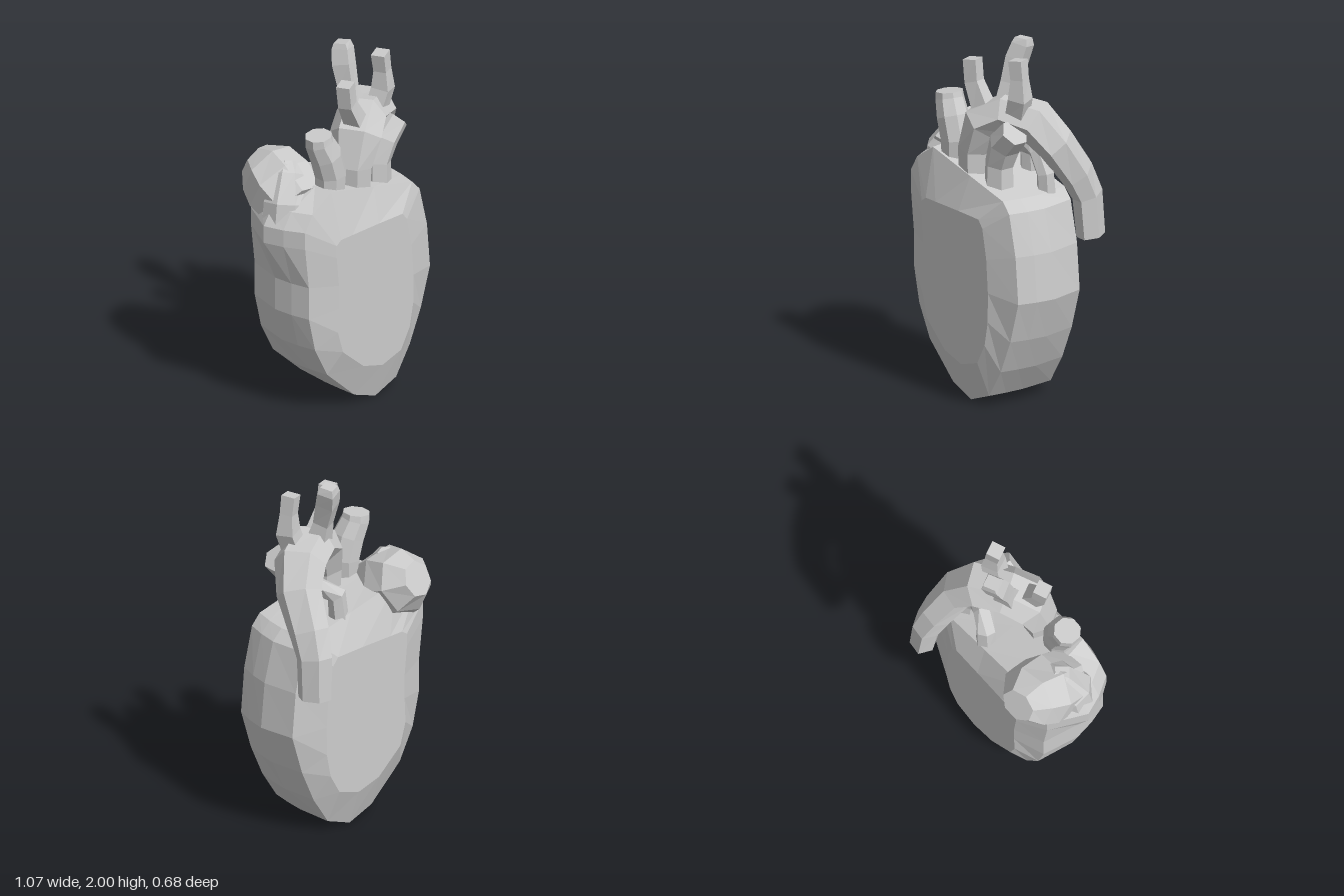
import * as THREE from 'three';

const material = new THREE.MeshStandardMaterial({ color: 0xcccccc, flatShading: true });

// Closed faceted skin over a list of rings, with a fan cap at both ends
function skin(name, rings) {
  const pos = [];
  const tri = (...pts) => pts.forEach((p) => pos.push(p.x, p.y, p.z));
  const n = rings[0].length;
  for (let i = 0; i < rings.length - 1; i++) {
    for (let j = 0; j < n; j++) {
      const k = (j + 1) % n;
      const a = rings[i][j], b = rings[i][k], c = rings[i + 1][k], d = rings[i + 1][j];
      tri(a, b, c);
      tri(a, c, d);
    }
  }
  const cap = (ring, flip) => {
    const mid = ring.reduce((s, p) => s.add(p), new THREE.Vector3()).divideScalar(n);
    ring.forEach((p, j) => {
      const q = ring[(j + 1) % n];
      if (flip) tri(mid, q, p); else tri(mid, p, q);
    });
  };
  cap(rings[0], true);
  cap(rings[rings.length - 1], false);
  const geo = new THREE.BufferGeometry();
  geo.setAttribute('position', new THREE.Float32BufferAttribute(pos, 3));
  geo.computeVertexNormals();
  const mesh = new THREE.Mesh(geo, material);
  mesh.name = name;
  return mesh;
}

// Low-poly vessel through stations of [x, y, z, radius]; wide stretches it along ref
function vessel(name, stations, sides = 6, ref = new THREE.Vector3(0, 0, 1), wide = 1) {
  const pts = stations.map(([x, y, z]) => new THREE.Vector3(x, y, z));
  const last = pts.length - 1;
  const rings = pts.map((p, i) => {
    const t = new THREE.Vector3();
    if (i > 0) t.add(p.clone().sub(pts[i - 1]).normalize());
    if (i < last) t.add(pts[i + 1].clone().sub(p).normalize());
    t.normalize();
    const u = new THREE.Vector3().crossVectors(ref, t).normalize();
    const v = new THREE.Vector3().crossVectors(t, u);
    return Array.from({ length: sides }, (_, j) => {
      const a = ((j + 0.5) / sides) * Math.PI * 2, r = stations[i][3];
      return p.clone().addScaledVector(u, Math.cos(a) * r).addScaledVector(v, Math.sin(a) * r * wide);
    });
  });
  return skin(name, rings);
}

export function createModel() {
  const group = new THREE.Group();
  group.name = 'heart';

  // Ventricles: one outline repeated through the depth, drawn in at front and back
  const outline = [
    [0.09, 0], [0.26, 0.06], [0.37, 0.22], [0.46, 0.41], [0.535, 0.64], [0.51, 0.9],
    [0.45, 1.13], [0.39, 1.19], [0.08, 1.26], [-0.27, 1.34], [-0.42, 1.25], [-0.48, 1.16],
    [-0.48, 1.06], [-0.45, 0.82], [-0.45, 0.63], [-0.4, 0.43], [-0.3, 0.25], [-0.08, 0.06],
  ];
  // The shoulder under the atrium swells in the middle of the depth
  const side = (z, s, swell = 0) => outline.map(([x, y]) => new THREE.Vector3(
    0.04 + (x - 0.04) * s - (x < -0.4 && y > 1 ? swell : 0), y, z));
  const face = (z) => outline.map(([x, y]) => {
    const s = THREE.MathUtils.lerp(0.85, 0.56, Math.min(1, y / 0.6));
    return new THREE.Vector3(0.02 + (x - 0.02) * s, Math.min(1.07, 0.21 + y * 0.72), z);
  });
  group.add(skin('ventricles', [
    face(-0.215), side(-0.145, 0.91), side(0.06, 1, 0.055), side(0.17, 0.97, 0.03), side(0.275, 0.91), face(0.338),
  ]));

  // Atrium lump at the back and its small front lobe
  group.add(vessel('rightAtrium', [
    [-0.31, 1.2, 0.08, 0.18], [-0.305, 1.28, -0.05, 0.2], [-0.295, 1.33, -0.16, 0.175], [-0.31, 1.37, -0.245, 0.1],
  ], 7, new THREE.Vector3(0, 1, 0)));
  group.add(vessel('rightAuricle', [
    [-0.39, 1.12, 0.07, 0.13], [-0.37, 1.25, 0.06, 0.13], [-0.32, 1.38, 0.02, 0.09], [-0.29, 1.43, -0.01, 0.05],
  ], 8));

  // Great vessels
  group.add(vessel('venaCava', [
    [-0.16, 1.22, 0.18, 0.08], [-0.155, 1.39, 0.18, 0.09],
    [-0.19, 1.51, 0.18, 0.09], [-0.23, 1.6, 0.17, 0.08], [-0.235, 1.64, 0.17, 0.075],
  ], 8));
  group.add(vessel('aorticArch', [
    [0, 1.18, 0.18, 0.08], [0, 1.38, 0.18, 0.09], [0.05, 1.54, 0.16, 0.115], [0.16, 1.605, 0.09, 0.11],
    [0.3, 1.575, 0.01, 0.115], [0.38, 1.45, -0.07, 0.1], [0.41, 1.27, -0.19, 0.09],
    [0.425, 1.14, -0.25, 0.08], [0.435, 0.91, -0.265, 0.075],
  ], 6, new THREE.Vector3(0.5, 0, 0.86), 1.25));
  group.add(vessel('pulmonaryTrunk', [
    [0.195, 1.16, 0.17, 0.085], [0.195, 1.34, 0.17, 0.08], [0.24, 1.46, 0.17, 0.09], [0.33, 1.55, 0.17, 0.08],
  ]));

  // Vein looping behind the trunk into the top of the ventricles
  group.add(vessel('pulmonaryVein', [
    [0.34, 1.13, -0.04, 0.055], [0.34, 1.28, -0.03, 0.05], [0.29, 1.39, -0.02, 0.05],
    [0.21, 1.42, -0.04, 0.055], [0.13, 1.36, -0.09, 0.055], [0.12, 1.2, -0.1, 0.055],
  ]));

  // Three branches on top of the arch
  const branches = [
    [[0.06, 1.6, 0.16, 0.07], [-0.02, 1.75, 0.17, 0.055], [-0.035, 1.875, 0.17, 0.055]],
    [[0.13, 1.62, 0.06, 0.08], [0.12, 1.75, 0.03, 0.06], [0.125, 1.88, -0.01, 0.07], [0.14, 1.96, -0.035, 0.065], [0.14, 1.995, -0.04, 0.05]],
    [[0.26, 1.6, 0.1, 0.07], [0.3, 1.72, 0.11, 0.07], [0.295, 1.83, 0.11, 0.052], [0.28, 1.935, 0.11, 0.055]],
  ];
  branches.forEach((b, i) => group.add(vessel('archBranch' + (i + 1), b, 4, new THREE.Vector3(0.4, 0, 0.92))));

  return group;
}
